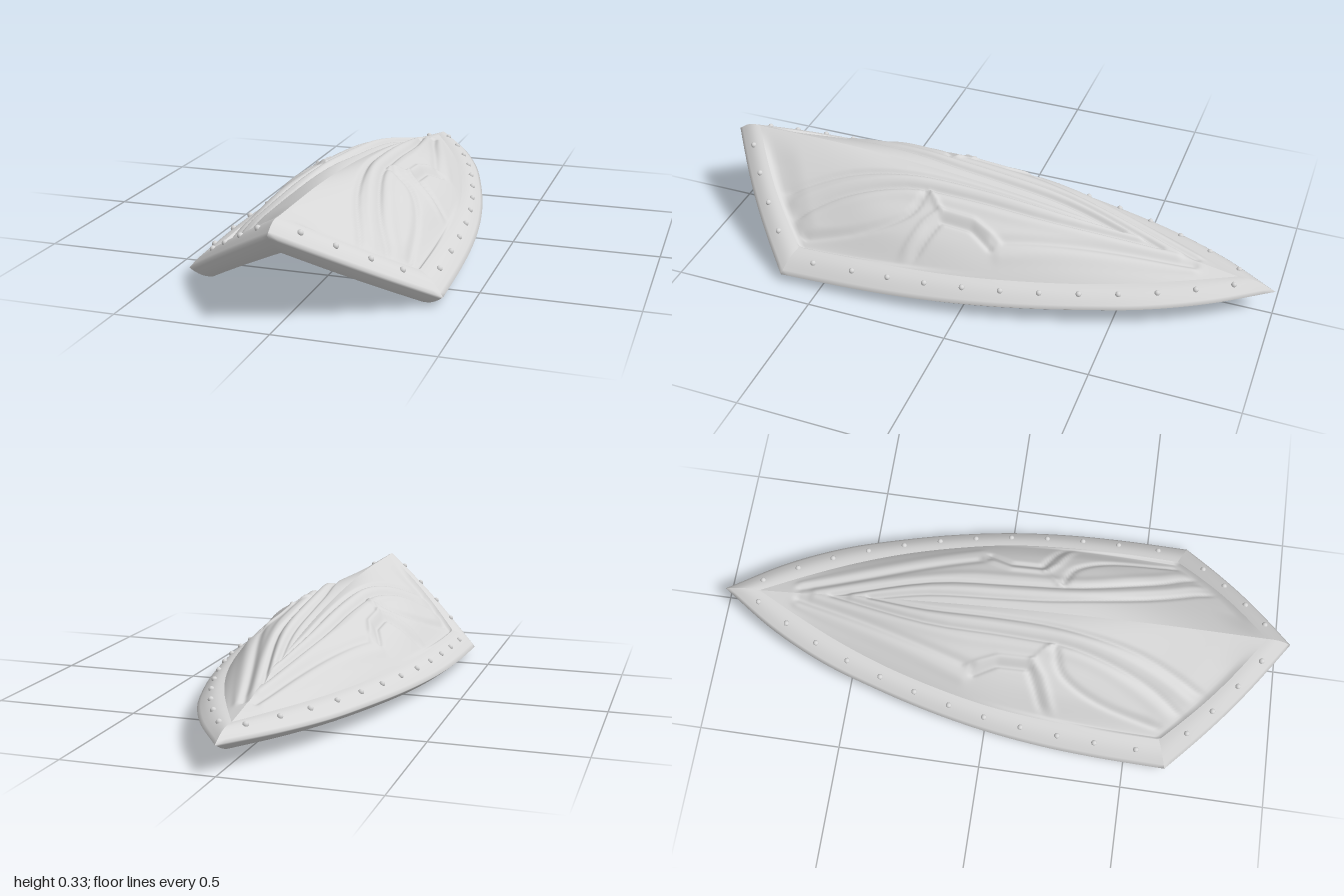
import * as THREE from 'three';

const V = (x, y, z) => new THREE.Vector3(x, y, z);
const curve = pts => new THREE.CatmullRomCurve3(pts.map(p => V(...p)));
const smooth = THREE.MathUtils.smoothstep;

// Right-hand guide curves, all running from the rear tip to the front
const outer = curve([[0, .095, -1], [.13, .088, -.8], [.225, .08, -.6], [.29, .073, -.4], [.343, .065, -.2],
  [.382, .057, 0], [.406, .048, .2], [.417, .04, .4], [.42, .03, .645]]);
const topLip = curve([[0, .125, -.87], [.075, .124, -.72], [.148, .122, -.56], [.215, .12, -.38], [.268, .118, -.19],
  [.307, .115, 0], [.328, .11, .2], [.337, .105, .4], [.337, .097, .61]]);
const bottomLip = curve([[0, .045, -.86], [.08, .041, -.72], [.155, .037, -.56], [.223, .032, -.38], [.278, .026, -.19],
  [.318, .02, 0], [.338, .013, .2], [.348, .007, .4], [.35, 0, .625]]);
const ridge = curve([[0, .125, -.87], [0, .157, -.69], [0, .196, -.5], [0, .236, -.3], [0, .264, -.13],
  [0, .29, .07], [0, .312, .3], [0, .328, .58], [0, .33, .915]]);

// Front edges run from each corner to the apex, bowed slightly forward
const bow = s => V(.01, 0, .012).multiplyScalar(Math.sin(Math.PI * s));
const front = (c, apex) => s => c.getPoint(1).lerp(apex, s).add(bow(s));
const sideRim = [topLip, outer, bottomLip].map(c => s => c.getPoint(s));
const frontRim = [front(topLip, V(0, .33, .915)), front(outer, V(0, .3, 1)), front(bottomLip, V(0, .215, .9))];

// Point on the rounded rim: w = 0 top lip, 0.5 outer edge, 1 bottom lip
function rimPoint(rim, s, w) {
  const k = w < .5 ? w * 2 : w * 2 - 1;
  const p = w < .5 ? rim[0](s).lerp(rim[1](s), k) : rim[1](s).lerp(rim[2](s), k);
  p.y += (w < .5 ? .012 : -.008) * Math.sin(Math.PI * k);
  return p;
}

// Relief lines on the panel: plan points [x, z], half width, height, tension (0 = straight segments)
const folds = [
  [[[0, -.46], [.028, -.25], [.036, 0], [.05, .22], [.1, .5], [.19, .74]], .008, -.01, .5],
  [[[0, -.52], [.05, -.25], [.066, .05], [.085, .28], [.145, .52], [.225, .71]], .016, .009, .5],
  [[[0, -.6], [.075, -.25], [.093, .05], [.112, .28], [.18, .52], [.26, .68]], .008, -.01, .5],
  [[[.01, -.66], [.06, -.45], [.115, -.15], [.125, .05], [.14, .28], [.21, .5], [.28, .65]], .018, .007, .5],
  [[[.02, -.72], [.07, -.52], [.14, -.28], [.2, -.07]], .014, -.01, .5],
  [[[.04, -.72], [.11, -.5], [.18, -.28], [.24, -.1]], .02, .006, .5],
  [[[.2, -.08], [.165, .02], [.165, .14], [.21, .18], [.33, .24]], .011, .01, 0],
  [[[.165, .14], [.11, .2]], .009, .008, 0],
  [[[.225, -.06], [.19, .02], [.19, .13], [.32, .2]], .01, -.012, 0],
  [[[.12, .21], [.2, .25], [.26, .38], [.3, .6]], .01, -.012, .5],
].map(([pts, w, h, tension]) => {
  const path = new THREE.CatmullRomCurve3(pts.map(([x, z]) => V(x, 0, z)), false, 'catmullrom', tension);
  return { w, h, line: path.getPoints((pts.length - 1) * 4) };
});

function relief(x, z) {
  let y = .01 * Math.exp(-(((x - .2) / .06) ** 2) - ((z - .42) / .14) ** 2);
  for (const { w, h, line } of folds) {
    let best = 1;
    for (let i = 0; i < line.length - 1; i++) {
      const a = line[i], dx = line[i + 1].x - a.x, dz = line[i + 1].z - a.z;
      const k = THREE.MathUtils.clamp(((x - a.x) * dx + (z - a.z) * dz) / (dx * dx + dz * dz), 0, 1);
      best = Math.min(best, (x - a.x - k * dx) ** 2 + (z - a.z - k * dz) ** 2);
    }
    y += h * Math.exp(-best / (w * w));
  }
  return y;
}

// Distance-like measure from the panel border
const border = (u, t) => Math.min((1 - u) * .33 * Math.sqrt(t), (1 - t) * 1.2, t);

// Carved upper panel between the ridge (u = 0) and the rim (u = 1)
function panelPoint(u, t) {
  const p = ridge.getPoint(t).lerp(topLip.getPoint(t), u).add(bow(u).multiplyScalar(t ** 8)), m = border(u, t);
  const swell = smooth(t, .05, .55) * (1 - smooth(t, .72, 1));
  p.y += .05 * swell * (1 - Math.abs(2 * u - 1) ** 2.6);
  p.y -= .016 * smooth(m, 0, .012) * (1 - smooth(m, .012, .07)) * smooth(u, 0, .3) * smooth(t, .55, .9);
  p.y += relief(p.x, p.z) * smooth(m, .005, .04);
  return p;
}

// Smooth hollow underside, vaulted across the middle
function hollowPoint(u, t) {
  const r = ridge.getPoint(t), b = bottomLip.getPoint(t);
  r.y -= .08 + .035 * t;
  const rise = (r.y - b.y) * u * (1 - u) * (1 - t ** 8);
  const p = r.lerp(b, u).add(bow(u).multiplyScalar(t ** 8));
  p.y += rise + .022 * smooth(border(u, t), 0, .015) * smooth(u, 0, .5);
  return p;
}

// Grid surface from a rule; side = -1 mirrors it, down flips its facing
function surface(rule, nu, nv, side, down = false) {
  const pos = [], idx = [];
  for (let j = 0; j <= nv; j++) for (let i = 0; i <= nu; i++) {
    const p = rule(i / nu, j / nv);
    pos.push(p.x * side, p.y, p.z);
  }
  for (let j = 0; j < nv; j++) for (let i = 0; i < nu; i++) {
    const a = j * (nu + 1) + i, b = a + 1, c = a + nu + 1, d = c + 1;
    if ((side < 0) !== down) idx.push(a, b, c, b, d, c);
    else idx.push(a, c, b, b, c, d);
  }
  const g = new THREE.BufferGeometry();
  g.setAttribute('position', new THREE.Float32BufferAttribute(pos, 3));
  g.setIndex(idx);
  g.computeVertexNormals();
  return g;
}

export function createModel() {
  const model = new THREE.Group();
  model.name = 'shield';
  const metal = new THREE.MeshStandardMaterial({ color: 0xd6d6d6 });
  metal.name = 'grey metal';
  const add = (name, geo) => {
    const m = new THREE.Mesh(geo, metal);
    m.name = name;
    model.add(m);
    return m;
  };

  const rivet = new THREE.SphereGeometry(.01, 12, 8);
  for (const side of [1, -1]) {
    const tag = side > 0 ? 'left' : 'right';
    add(tag + 'Panel', surface(panelPoint, 90, 160, side));
    add(tag + 'Hollow', surface(hollowPoint, 40, 60, side, true));
    add(tag + 'SideRim', surface((w, s) => rimPoint(sideRim, s, w), 16, 60, side));
    add(tag + 'FrontRim', surface((w, s) => rimPoint(frontRim, s, w), 16, 20, side));

    // Rivets along the side and front rims
    const spots = [.2, .41, .63, .84].map(s => rimPoint(frontRim, s, .25));
    for (let i = 0; i < 12; i++) spots.push(rimPoint(sideRim, .05 + i * .0818, .25));
    for (const p of spots) add(tag + 'Rivet', rivet).position.set(p.x * side, p.y, p.z);
  }

  // Curved hand strap under the ridge
  const arc = [[-.21, .175], [-.17, .122], [-.1, .085], [0, .068], [.1, .085], [.17, .122], [.21, .175]];
  const path = new THREE.SplineCurve(arc.map(([x, y]) => new THREE.Vector2(x, y))).getPoints(30);
  const band = new THREE.Shape([...path, ...path.map(p => new THREE.Vector2(p.x * .97, p.y + .008)).reverse()]);
  add('handStrap', new THREE.ExtrudeGeometry(band, { depth: .035, bevelEnabled: false })).position.z = .26;

  return model;
}
